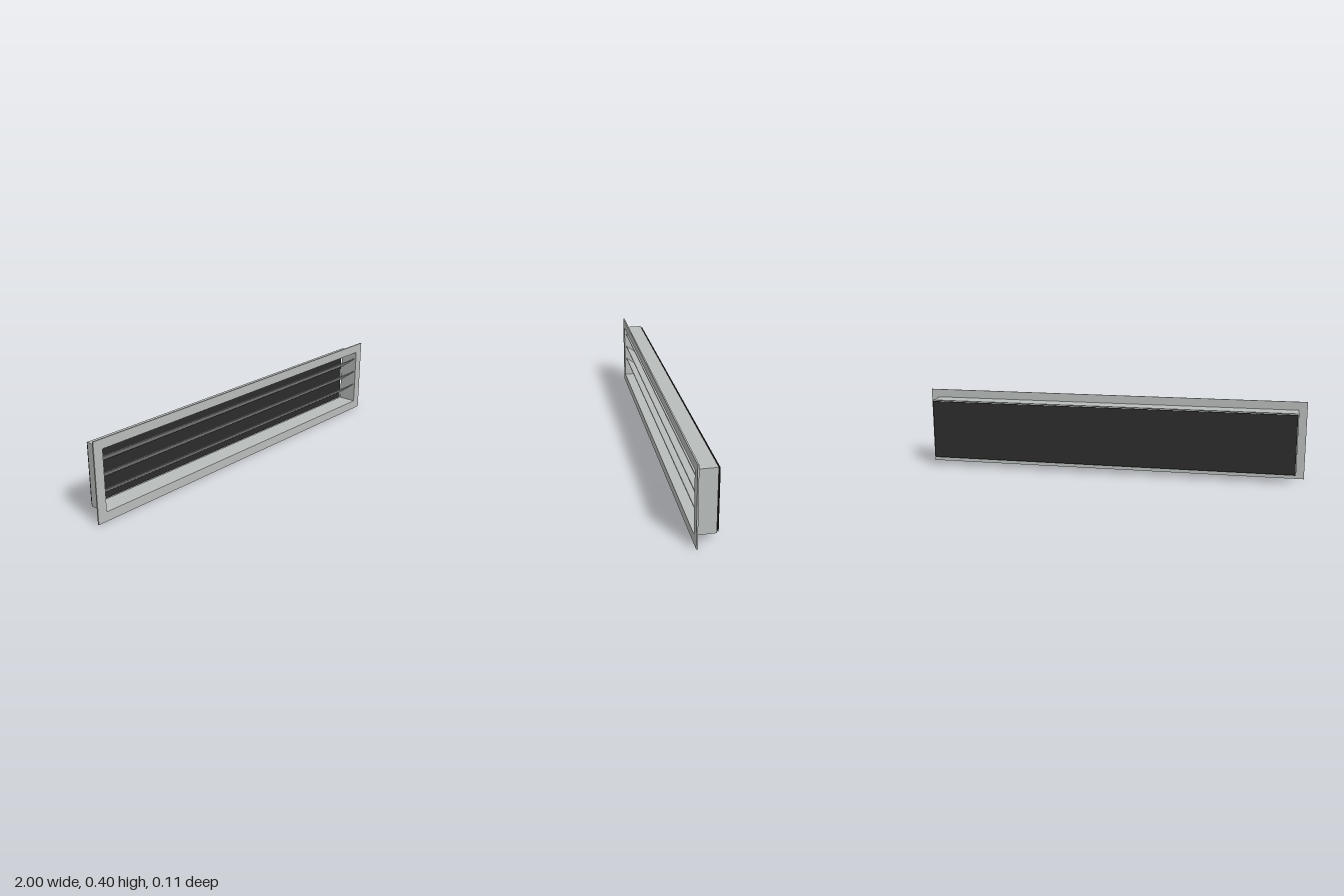
import * as THREE from 'three';

const CY = 0.2; // height of the grille's centre line

// Rectangular ring extruded along z, from z0 to z1
function ring(outerW, outerH, innerW, innerH, z0, z1) {
  const rect = (target, w, h) => {
    target.moveTo(-w / 2, -h / 2);
    target.lineTo(w / 2, -h / 2);
    target.lineTo(w / 2, h / 2);
    target.lineTo(-w / 2, h / 2);
    target.closePath();
    return target;
  };
  const shape = rect(new THREE.Shape(), outerW, outerH);
  shape.holes.push(rect(new THREE.Path(), innerW, innerH));
  const geo = new THREE.ExtrudeGeometry(shape, { depth: z1 - z0, bevelEnabled: false });
  return geo.translate(0, CY, z0);
}

export function createModel() {
  const group = new THREE.Group();
  const metal = new THREE.MeshStandardMaterial({ color: 0xb9bdbc });
  metal.name = 'grey metal';
  const black = new THREE.MeshStandardMaterial({ color: 0x2c2c2c });
  black.name = 'dark backing';

  const add = (name, geo, mat) => {
    const mesh = new THREE.Mesh(geo, mat);
    mesh.name = name;
    group.add(mesh);
    return mesh;
  };

  const openW = 1.904, openH = 0.306;

  // Front flange and the duct collar behind it
  add('flange', ring(2, 0.4, openW, openH, 0.048, 0.055), metal);
  add('collar', ring(1.914, 0.316, openW, openH, -0.045, 0.048), metal);

  // Backing panel, a small gap behind the collar
  const panel = add('backPanel', new THREE.BoxGeometry(openW, openH, 0.004), black);
  panel.position.set(0, CY, -0.052);

  // Three slanted vanes: front edge high, rear edge low
  const zFront = 0.046, zBack = -0.041, drop = 0.066, t = 0.004;
  for (let i = 0; i < 3; i++) {
    const yFront = 0.315 - i * 0.08;
    const run = zFront - zBack;
    const vane = add('vane' + (i + 1), new THREE.BoxGeometry(openW, t, Math.hypot(run, drop)), metal);
    vane.position.set(0, yFront - drop / 2 - t / 2, (zFront + zBack) / 2);
    vane.rotation.x = -Math.atan2(drop, run);
  }
  return group;
}
